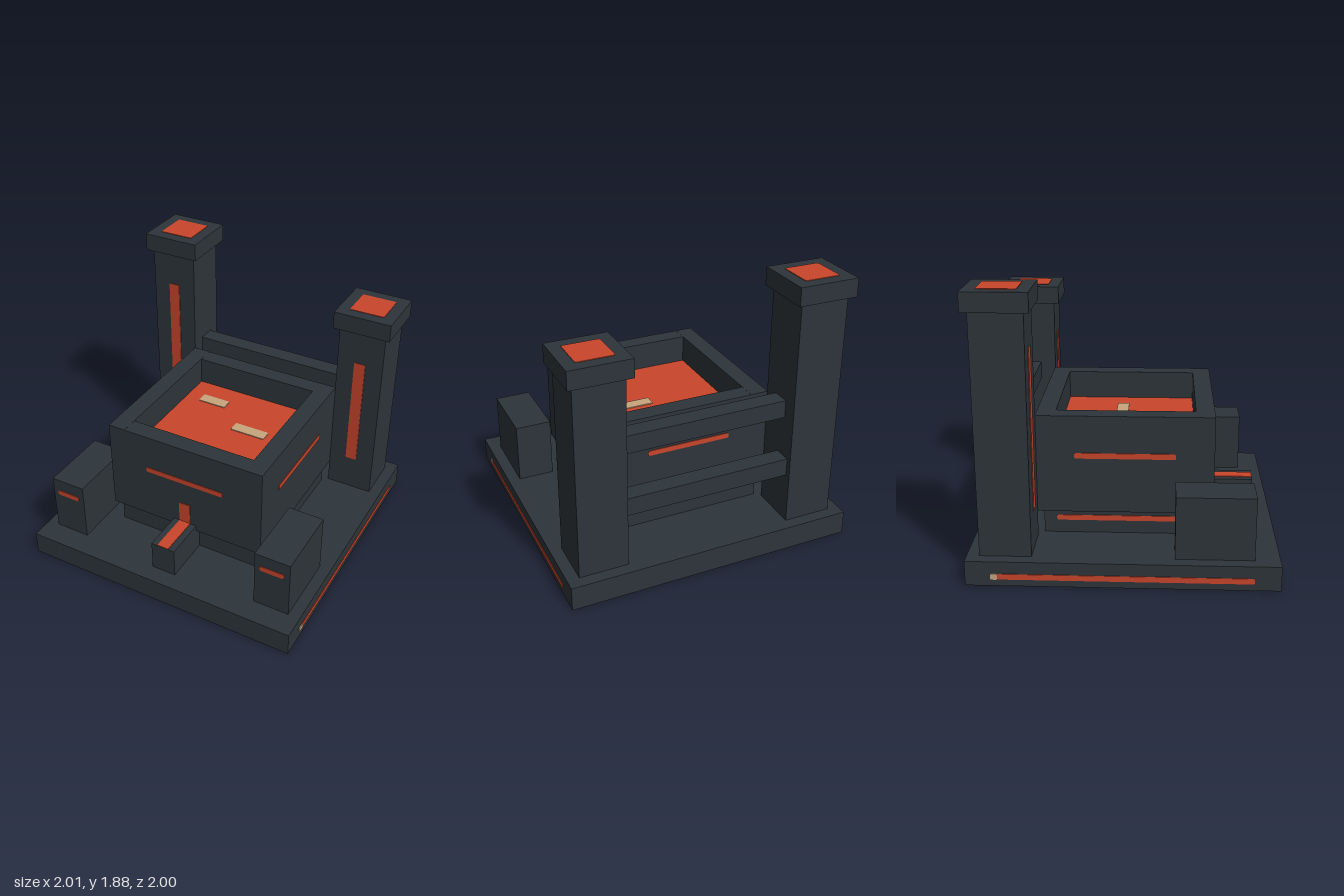
import * as THREE from 'three';

const stone = new THREE.MeshStandardMaterial({ color: 0x2d353a });
stone.name = 'dark stone';
const lava = new THREE.MeshStandardMaterial({ color: 0xc9452b });
lava.name = 'molten orange';
const ember = new THREE.MeshStandardMaterial({ color: 0xc8a47e });
ember.name = 'pale ember';

export function createModel() {
  const model = new THREE.Group();
  model.name = 'forge';

  // Box given by its extents on each axis
  function block(name, [x0, x1], [y0, y1], [z0, z1], material = stone) {
    const mesh = new THREE.Mesh(new THREE.BoxGeometry(x1 - x0, y1 - y0, z1 - z0), material);
    mesh.position.set((x0 + x1) / 2, (y0 + y1) / 2, (z0 + z1) / 2);
    mesh.name = name;
    model.add(mesh);
    return mesh;
  }

  // Thin plate with softened corners, w by h, lying on a face turned to the given side
  const turns = { front: [0, 0], back: [0, Math.PI], right: [0, Math.PI / 2], left: [0, -Math.PI / 2], top: [-Math.PI / 2, 0] };
  function plate(name, side, w, h, [x, y, z], material = lava, r = 0.01) {
    const a = w / 2, b = h / 2;
    const s = new THREE.Shape();
    s.moveTo(-a + r, -b);
    s.lineTo(a - r, -b);
    s.quadraticCurveTo(a, -b, a, -b + r);
    s.lineTo(a, b - r);
    s.quadraticCurveTo(a, b, a - r, b);
    s.lineTo(-a + r, b);
    s.quadraticCurveTo(-a, b, -a, b - r);
    s.lineTo(-a, -b + r);
    s.quadraticCurveTo(-a, -b, -a + r, -b);
    const geometry = new THREE.ExtrudeGeometry(s, { depth: 0.006, bevelEnabled: false, curveSegments: 3 });
    const mesh = new THREE.Mesh(geometry, material);
    mesh.rotation.set(turns[side][0], turns[side][1], 0);
    mesh.position.set(x, y, z);
    mesh.name = name;
    model.add(mesh);
  }

  // Base and plinth
  block('base', [-1, 1], [0, 0.167], [-1, 1]);
  block('plinth', [-0.543, 0.543], [0.167, 0.335], [-0.543, 0.543]);

  // Basin: floor, four walls and the molten pool
  block('basinFloor', [-0.459, 0.459], [0.335, 0.8], [-0.459, 0.459]);
  for (const s of [-1, 1]) {
    const span = s > 0 ? [0.459, 0.584] : [-0.584, -0.459];
    block('basinSideWall', span, [0.335, 1.003], [-0.584, 0.584]);
    block('basinEndWall', [-0.459, 0.459], [0.335, 1.002], span);
  }
  plate('moltenPool', 'top', 0.916, 0.916, [0, 0.8, 0], lava, 0.001);
  plate('poolEmber', 'top', 0.213, 0.084, [-0.238, 0.806, -0.262], ember);
  plate('poolEmber', 'top', 0.258, 0.084, [0.168, 0.806, -0.048], ember);

  // Glowing slots on the basin, plinth and base
  plate('frontSlot', 'front', 0.59, 0.036, [0, 0.733, 0.583]);
  plate('backSlot', 'back', 0.59, 0.036, [0, 0.733, -0.583]);
  for (const s of [-1, 1]) {
    const side = s > 0 ? 'right' : 'left';
    plate('basinSideSlot', side, 0.664, 0.038, [s * 0.583, 0.731, 0]);
    plate('plinthSlot', side, 0.915, 0.036, [s * 0.542, 0.274, 0]);
    plate('baseSlot', side, 1.665, 0.038, [s * 0.998, 0.065, 0]);
    plate('baseEmber', side, 0.045, 0.04, [s * 1.0, 0.065, s * 0.815], ember);
  }

  // Chimneys with caps, tall one at -x
  for (const [s, height] of [[-1, 1.755], [1, 1.502]]) {
    const x = s * 0.75, z = -0.75;
    block('chimney', [x - 0.168, x + 0.168], [0.167, height], [z - 0.168, z + 0.168]);
    block('chimneyCap', [x - 0.206, x + 0.206], [height, height + 0.125], [z - 0.206, z + 0.206]);
    plate('chimneyMouth', 'top', 0.247, 0.247, [x, height + 0.123, z]);
    const top = height - 0.25;
    plate('chimneySlot', 'front', 0.082, top - 0.425, [x, (top + 0.425) / 2, -0.583]);
  }

  // Beams joining the chimneys at the back
  block('upperBeam', [-0.583, 0.583], [0.917, 1.042], [-0.815, -0.69]);
  block('lowerBeam', [-0.583, 0.583], [0.51, 0.635], [-0.88, -0.755]);

  // Front corner blocks
  for (const s of [-1, 1]) {
    const x = s * 0.792;
    block('cornerBlock', [x - 0.126, x + 0.126], [0.167, 0.59], [0.33, 0.837]);
    plate('cornerSlot', 'front', 0.17, 0.036, [x, 0.483, 0.836]);
  }

  // Spout with a molten run falling down the front wall
  block('spout', [-0.088, 0.088], [0.167, 0.378], [0.543, 0.88]);
  plate('spoutRun', 'top', 0.084, 0.294, [0, 0.377, 0.732], lava, 0.002);
  plate('spoutFall', 'front', 0.084, 0.162, [0, 0.459, 0.583], lava, 0.005);

  return model;
}
